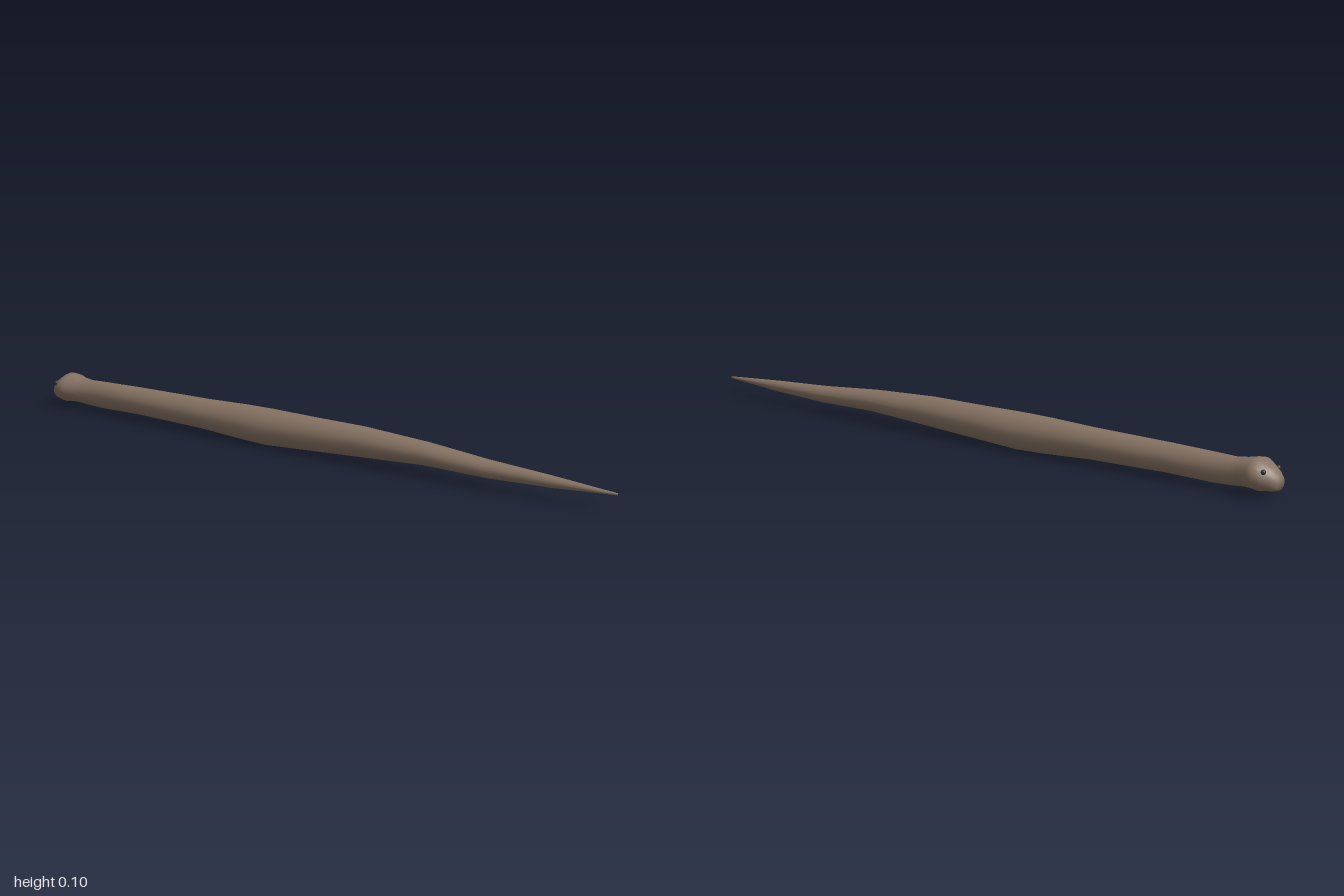
import * as THREE from 'three';

const skin = new THREE.MeshStandardMaterial({ color: 0x857262 });
skin.name = 'brown skin';
const dark = new THREE.MeshStandardMaterial({ color: 0x3a3029 });
dark.name = 'dark eye';

// Cross-sections along the body: x, bottom, top, half width
const sections = [
  [-1, 0.043, 0.043, 0],
  [-1, 0.024, 0.062, 0.018],
  [-0.985, 0.018, 0.077, 0.031],
  [-0.965, 0.017, 0.089, 0.044],
  [-0.945, 0.014, 0.101, 0.056],
  [-0.925, 0.017, 0.1, 0.05],
  [-0.895, 0.017, 0.094, 0.039],
  [-0.86, 0.014, 0.09, 0.034],
  [-0.8, 0.012, 0.092, 0.036],
  [-0.65, 0.015, 0.095, 0.043],
  [-0.4, 0.011, 0.098, 0.048],
  [-0.25, 0.003, 0.103, 0.053],
  [-0.15, 0, 0.104, 0.057],
  [0, 0.008, 0.103, 0.051],
  [0.18, 0.018, 0.103, 0.047],
  [0.4, 0.03, 0.093, 0.04],
  [0.6, 0.028, 0.077, 0.031],
  [0.8, 0.035, 0.067, 0.019],
  [0.95, 0.045, 0.057, 0.008],
  [1, 0.048, 0.054, 0.003],
  [1, 0.051, 0.051, 0],
];

// Smooth closed skin stretched over elliptical rings
function loft(rings, sides) {
  const positions = [], index = [];
  rings.forEach(([x, bottom, top, w], i) => {
    for (let j = 0; j < sides; j++) {
      const a = (j / sides) * Math.PI * 2;
      positions.push(x, (top + bottom) / 2 + Math.sin(a) * (top - bottom) / 2, Math.cos(a) * w);
      if (i === rings.length - 1) continue;
      const p = i * sides + j, q = i * sides + (j + 1) % sides;
      index.push(p, p + sides, q, q, p + sides, q + sides);
    }
  });
  const g = new THREE.BufferGeometry();
  g.setAttribute('position', new THREE.Float32BufferAttribute(positions, 3));
  g.setIndex(index);
  g.computeVertexNormals();
  return g;
}

export function createModel() {
  const model = new THREE.Group();
  model.name = 'eel';

  const body = new THREE.Mesh(loft(sections, 20), skin);
  body.name = 'body';
  model.add(body);

  // Small eyes on both sides of the head
  for (const side of [1, -1]) {
    const eye = new THREE.Mesh(new THREE.SphereGeometry(0.007, 10, 8), dark);
    eye.name = side > 0 ? 'frontEye' : 'backEye';
    eye.position.set(-0.97, 0.072, side * 0.034);
    model.add(eye);
  }
  return model;
}
